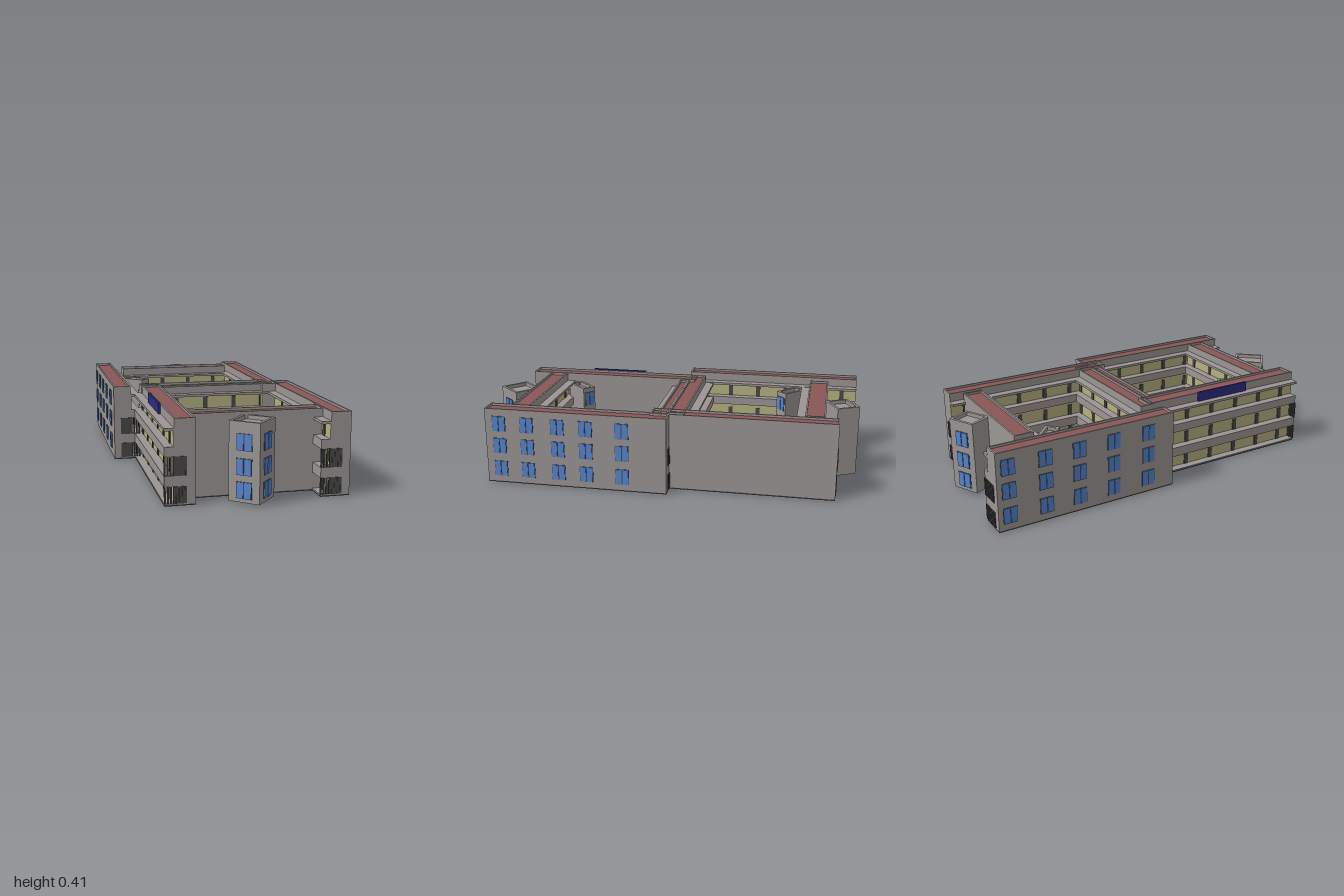
import * as THREE from 'three';

const mat = (color) => new THREE.MeshStandardMaterial({ color });
const GREY = mat(0x9b9694), RED = mat(0x8a5555), YELLOW = mat(0xb5b080),
  DARK = mat(0x484848), BLUE = mat(0x5585d0), NAVY = mat(0x2b2b80);

// box given by its min / max corners
function box(parent, name, material, x0, x1, y0, y1, z0, z1) {
  const m = new THREE.Mesh(new THREE.BoxGeometry(x1 - x0, y1 - y0, z1 - z0), material);
  m.position.set((x0 + x1) / 2, (y0 + y1) / 2, (z0 + z1) / 2);
  m.name = name;
  parent.add(m);
  return m;
}

// upstand around a flat roof
function roofRim(g, x0, x1, z0, z1, y0, y1, t) {
  box(g, 'roofRim', GREY, x0, x1, y0, y1, z0, z0 + t);
  box(g, 'roofRim', GREY, x0, x1, y0, y1, z1 - t, z1);
  box(g, 'roofRim', GREY, x0, x0 + t, y0, y1, z0 + t, z1 - t);
  box(g, 'roofRim', GREY, x1 - t, x1, y0, y1, z0 + t, z1 - t);
}

// two-pane window facing local +z
function addWindow(parent, x, y, z, w, h, angle = 0) {
  const g = new THREE.Group();
  g.name = 'window';
  box(g, 'windowFrame', DARK, -w / 2, w / 2, -h / 2, h / 2, -0.002, 0.002);
  for (const s of [-1, 1]) {
    box(g, 'windowPane', BLUE, s * w * 0.25 - w * 0.21, s * w * 0.25 + w * 0.21,
      -h * 0.48, h * 0.48, 0, 0.005);
  }
  g.position.set(x, y, z);
  g.rotation.y = angle;
  parent.add(g);
}

// building bar: length along local x, open gallery on local +z
function buildBar(root, { name, x, z, angle, length, depth, top = 0.41, grilles = false }) {
  const g = new THREE.Group();
  g.name = name;
  const a = length / 2, wall = -0.046;
  box(g, 'walls', GREY, -a, a, 0.01, top - 0.015, -depth, wall);
  box(g, 'redRoof', RED, -a + 0.008, a - 0.008, top - 0.016, top - 0.012, -depth + 0.008, wall - 0.008);
  roofRim(g, -a, a, -depth, wall, top - 0.015, top, 0.008);
  box(g, 'foundation', DARK, -a, a, 0.004, 0.011, -depth, 0);
  // gallery slabs, edge beams and roof
  box(g, 'galleryFloor', GREY, -a, a, 0.01, 0.015, wall, 0);
  for (const [y0, y1] of [[0.095, 0.145], [0.235, 0.28]]) {
    box(g, 'galleryBeam', GREY, -a, a, y0, y1, wall, 0);
  }
  box(g, 'galleryRoof', GREY, -a, a, 0.352, 0.365, wall, 0);
  // coloured back wall with doors on every floor
  const n = Math.max(3, Math.round(length / 0.15));
  for (const [y0, y1] of [[0.015, 0.095], [0.145, 0.235], [0.28, 0.352]]) {
    box(g, 'galleryWall', YELLOW, -a, a, y0, y1, wall, wall + 0.003);
    for (let i = 0; i < n; i++) {
      const d = -a + (i + 0.5) * length / n;
      box(g, 'door', DARK, d - 0.012, d + 0.012, y0, y0 + 0.062, wall, wall + 0.007);
    }
  }
  // barred openings at both ends
  if (grilles) {
    for (const s of [-1, 1]) {
      for (const [y0, y1] of [[0.015, 0.095], [0.145, 0.235]]) {
        const e = s * a;
        box(g, 'endOpening', DARK, e - 0.002, e + 0.002, y0, y1, -0.104, wall);
        for (let i = 0; i < 8; i++) {
          const b = -0.1 + i * 0.014;
          box(g, 'endBar', DARK, e - 0.004, e + 0.004, y0, y1, b - 0.004, b + 0.004);
        }
      }
    }
  }
  g.position.set(x, 0, z);
  g.rotation.y = angle;
  root.add(g);
}

// turned stair tower with a sunken roof; faces lists the glazed sides
function buildTower(root, { name, x, z, angle, w, d, y1, faces, winW }) {
  const g = new THREE.Group();
  g.name = name;
  box(g, 'towerWalls', GREY, -w / 2, w / 2, 0.012, y1 - 0.02, -d / 2, d / 2);
  roofRim(g, -w / 2, w / 2, -d / 2, d / 2, y1 - 0.02, y1, 0.014);
  for (const f of faces) {
    const sideways = Math.abs(Math.sin(f)) > 0.5;
    const r = (sideways ? w : d) / 2;
    for (const y of [0.07, 0.18, 0.295]) {
      addWindow(g, Math.sin(f) * r, y, Math.cos(f) * r, winW, 0.08, f);
    }
  }
  g.position.set(x, 0, z);
  g.rotation.y = angle;
  root.add(g);
}

export function createModel() {
  const root = new THREE.Group();
  root.name = 'courtyardBuilding';
  const H = Math.PI / 2, deg = Math.PI / 180;

  // long wings
  buildBar(root, { name: 'backLeftWing', x: -0.36, z: -0.505, angle: H, length: 0.97, depth: 0.14, grilles: true });
  buildBar(root, { name: 'backRightWing', x: 0.28, z: -0.425, angle: -H, length: 0.95, depth: 0.14, grilles: true });
  buildBar(root, { name: 'frontLeftWing', x: -0.386, z: 0.415, angle: -H, length: 0.97, depth: 0.146, grilles: true });
  buildBar(root, { name: 'frontRightWing', x: 0.355, z: 0.43, angle: -H, length: 0.96, depth: 0.145, grilles: true });

  // cross bars closing the two courtyards
  buildBar(root, { name: 'backBar', x: -0.025, z: -0.68, angle: 0, length: 0.66, depth: 0.15, top: 0.407 });
  buildBar(root, { name: 'middleBackBar', x: 0.015, z: -0.165, angle: 2 * H, length: 0.72, depth: 0.13, top: 0.407 });
  buildBar(root, { name: 'middleFrontBar', x: 0.085, z: 0.06, angle: 0, length: 0.65, depth: 0.093, top: 0.404 });
  buildBar(root, { name: 'frontBar', x: 0.08, z: 0.65, angle: 2 * H, length: 0.65, depth: 0.148, top: 0.407 });

  // window rows on the outer long walls
  for (const y of [0.083, 0.21, 0.33]) {
    for (const z of [0.835, 0.685, 0.52, 0.37, 0.18]) addWindow(root, 0.5, y, z, 0.072, 0.083, H);
    for (const z of [-0.93, -0.74, -0.56, -0.37, -0.17]) addWindow(root, -0.5, y, z, 0.072, 0.083, -H);
  }

  // stair towers outside, and slim ones in the courtyard corners
  buildTower(root, { name: 'frontTower', x: 0.027, z: 0.885, angle: -41 * deg, w: 0.157, d: 0.165, y1: 0.39, faces: [0, H], winW: 0.08 });
  buildTower(root, { name: 'backTower', x: 0.01, z: -0.912, angle: 27 * deg, w: 0.15, d: 0.128, y1: 0.39, faces: [Math.PI], winW: 0.08 });
  buildTower(root, { name: 'frontCourtTower', x: -0.18, z: 0.59, angle: 137 * deg, w: 0.075, d: 0.16, y1: 0.36, faces: [0], winW: 0.055 });
  buildTower(root, { name: 'backCourtTower', x: -0.29, z: -0.62, angle: 46 * deg, w: 0.075, d: 0.14, y1: 0.36, faces: [0], winW: 0.055 });

  // blank board above the outer gallery
  box(root, 'signBoard', NAVY, -0.352, -0.341, 0.35, 0.417, 0.24, 0.56);
  return root;
}
